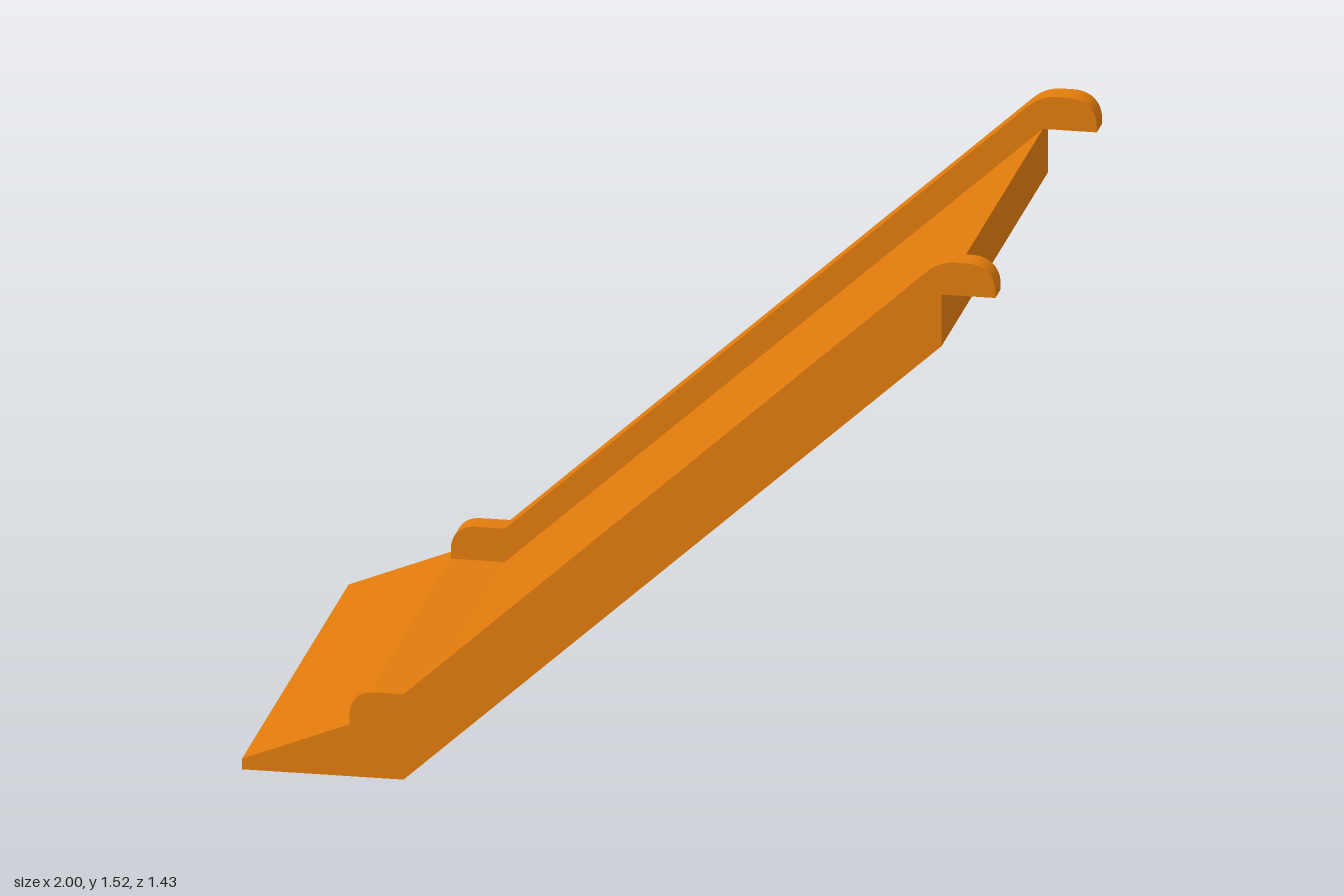
import * as THREE from 'three';
import { toCreasedNormals } from 'three/addons/utils/BufferGeometryUtils.js';

const HALF_WIDTH = 0.714;
const RAIL = 0.071;

// Extrude a side profile along z, from z to z + depth
function slab(name, shape, z, depth, material) {
  const geometry = new THREE.ExtrudeGeometry(shape, { depth, bevelEnabled: false, curveSegments: 12 });
  geometry.translate(0, 0, z);
  const mesh = new THREE.Mesh(toCreasedNormals(geometry, 0.3), material);
  mesh.name = name;
  return mesh;
}

// Sloping bed with the run-out lip at its foot
function bedProfile() {
  const s = new THREE.Shape();
  s.moveTo(-1, 0);
  s.lineTo(-0.571, 0);
  s.lineTo(0.857, 1.288);
  s.lineTo(0.857, 1.43);
  s.lineTo(-0.571, 0.143);
  s.lineTo(-0.714, 0.143);
  s.lineTo(-1, 0.029);
  s.closePath();
  return s;
}

// Side rail with a rounded foot and a hook at the top
function railProfile() {
  const s = new THREE.Shape();
  s.moveTo(-0.714, 0.143);
  s.lineTo(-0.571, 0.143);
  s.lineTo(0.857, 1.43);
  s.lineTo(1, 1.43);
  s.lineTo(1, 1.446);
  s.bezierCurveTo(1, 1.49, 0.97, 1.52, 0.925, 1.52);
  s.lineTo(0.893, 1.52);
  s.quadraticCurveTo(0.85, 1.52, 0.815, 1.488);
  s.lineTo(-0.571, 0.235);
  s.lineTo(-0.65, 0.235);
  s.bezierCurveTo(-0.69, 0.235, -0.714, 0.208, -0.714, 0.172);
  s.closePath();
  return s;
}

export function createModel() {
  const group = new THREE.Group();
  group.name = 'slide';
  const orange = new THREE.MeshStandardMaterial({ color: 0xe07b0c });

  group.add(slab('bed', bedProfile(), -HALF_WIDTH, 2 * HALF_WIDTH, orange));
  group.add(slab('frontRail', railProfile(), HALF_WIDTH - RAIL, RAIL, orange));
  group.add(slab('backRail', railProfile(), -HALF_WIDTH, RAIL, orange));
  return group;
}
